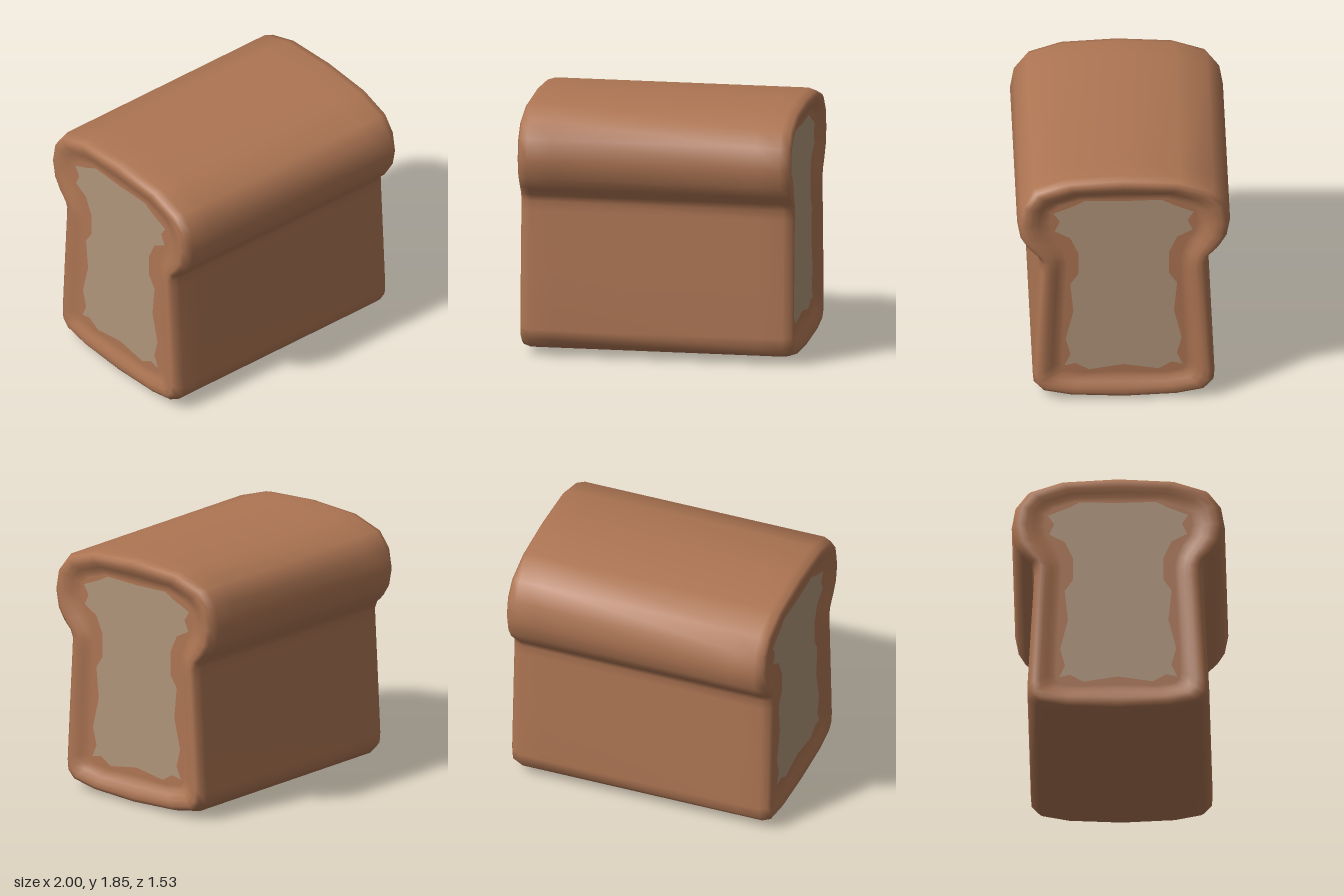
import * as THREE from 'three';

// Half profiles as [z, y], running from the top down to the bottom
const OUTER = [[0, 1.85], [0.41, 1.825], [0.65, 1.745], [0.74, 1.625], [0.767, 1.47], [0.742, 1.335],
  [0.69, 1.25], [0.625, 1.19], [0.603, 1.14], [0.606, 1.07], [0.63, 0.65], [0.655, 0.2], [0.648, 0.12],
  [0.59, 0.06], [0.39, 0.02], [0, 0]];
const INNER = [[0, 1.66], [0.3, 1.66], [0.46, 1.61], [0.52, 1.56], [0.53, 1.47], [0.51, 1.39],
  [0.46, 1.32], [0.42, 1.22], [0.405, 1.14], [0.41, 1.05], [0.43, 0.67], [0.445, 0.3], [0.44, 0.25],
  [0.41, 0.22], [0.28, 0.2], [0, 0.21]];
const CRUMB = [[0, 1.648], [0.275, 1.655], [0.36, 1.61], [0.505, 1.55], [0.46, 1.48], [0.497, 1.4],
  [0.385, 1.34], [0.325, 1.21], [0.325, 1.04], [0.385, 0.95], [0.362, 0.72], [0.418, 0.49],
  [0.383, 0.36], [0.425, 0.267], [0.345, 0.285], [0.25, 0.23], [0, 0.27]];

// Dish depth at the left (+x) and right (-x) ends
const LEFT_DEPTH = 0.05, RIGHT_DEPTH = 0.03;

// Rings as [inset towards the inner profile, x], from mid loaf over the rim into a dished end
const endRings = depth => [[0, 0.75], [0, 0.925], [0.1, 0.983], [0.24, 1], [0.45, 1 - depth * 0.12],
  [0.65, 1 - depth * 0.55], [0.83, 1 - depth * 0.93], [1, 1 - depth]];

// Completes a half profile with its mirror image
const mirror = half => [...half, ...half.slice(1, -1).reverse().map(([z, y]) => [-z, y])];

function crustGeometry() {
  const outer = mirror(OUTER), inner = mirror(INNER), n = outer.length;
  const rings = [...endRings(RIGHT_DEPTH).map(([t, x]) => [t, -x]).reverse(), ...endRings(LEFT_DEPTH)];
  const positions = [], index = [];
  for (const [t, x] of rings) {
    outer.forEach(([z, y], j) => positions.push(
      x,
      THREE.MathUtils.lerp(y, inner[j][1], t),
      THREE.MathUtils.lerp(z, inner[j][0], t)));
  }
  const last = (rings.length - 1) * n, centre = rings.length * n;
  positions.push(RIGHT_DEPTH - 1, 0.9, 0, 1 - LEFT_DEPTH, 0.9, 0);
  for (let j = 0; j < n; j++) {
    const k = (j + 1) % n;
    for (let r = 0; r < last; r += n) {
      index.push(r + j, r + k, r + n + k, r + j, r + n + k, r + n + j);
    }
    // Floors of the two dished ends
    index.push(centre, k, j, centre + 1, last + j, last + k);
  }
  const geometry = new THREE.BufferGeometry();
  geometry.setAttribute('position', new THREE.Float32BufferAttribute(positions, 3));
  geometry.setIndex(index);
  geometry.computeVertexNormals();
  return geometry;
}

export function createModel() {
  const loaf = new THREE.Group();
  loaf.name = 'breadLoaf';

  // Crust: one smooth skin with rolled rims at both ends
  const crust = new THREE.Mesh(crustGeometry(), new THREE.MeshStandardMaterial({ color: 0xad7553 }));
  crust.name = 'crust';
  loaf.add(crust);

  // Crumb: ragged pale patch on each cut end
  const crumbMaterial = new THREE.MeshStandardMaterial({ color: 0xb0957a });
  const shape = new THREE.Shape(mirror(CRUMB).map(([z, y]) => new THREE.Vector2(z, y)));
  for (const [name, side, depth] of [['leftCrumb', 1, LEFT_DEPTH], ['rightCrumb', -1, RIGHT_DEPTH]]) {
    const crumb = new THREE.Mesh(new THREE.ShapeGeometry(shape), crumbMaterial);
    crumb.name = name;
    crumb.rotation.y = side * Math.PI / 2;
    crumb.position.x = side * (1 - depth + 0.003);
    loaf.add(crumb);
  }
  return loaf;
}
